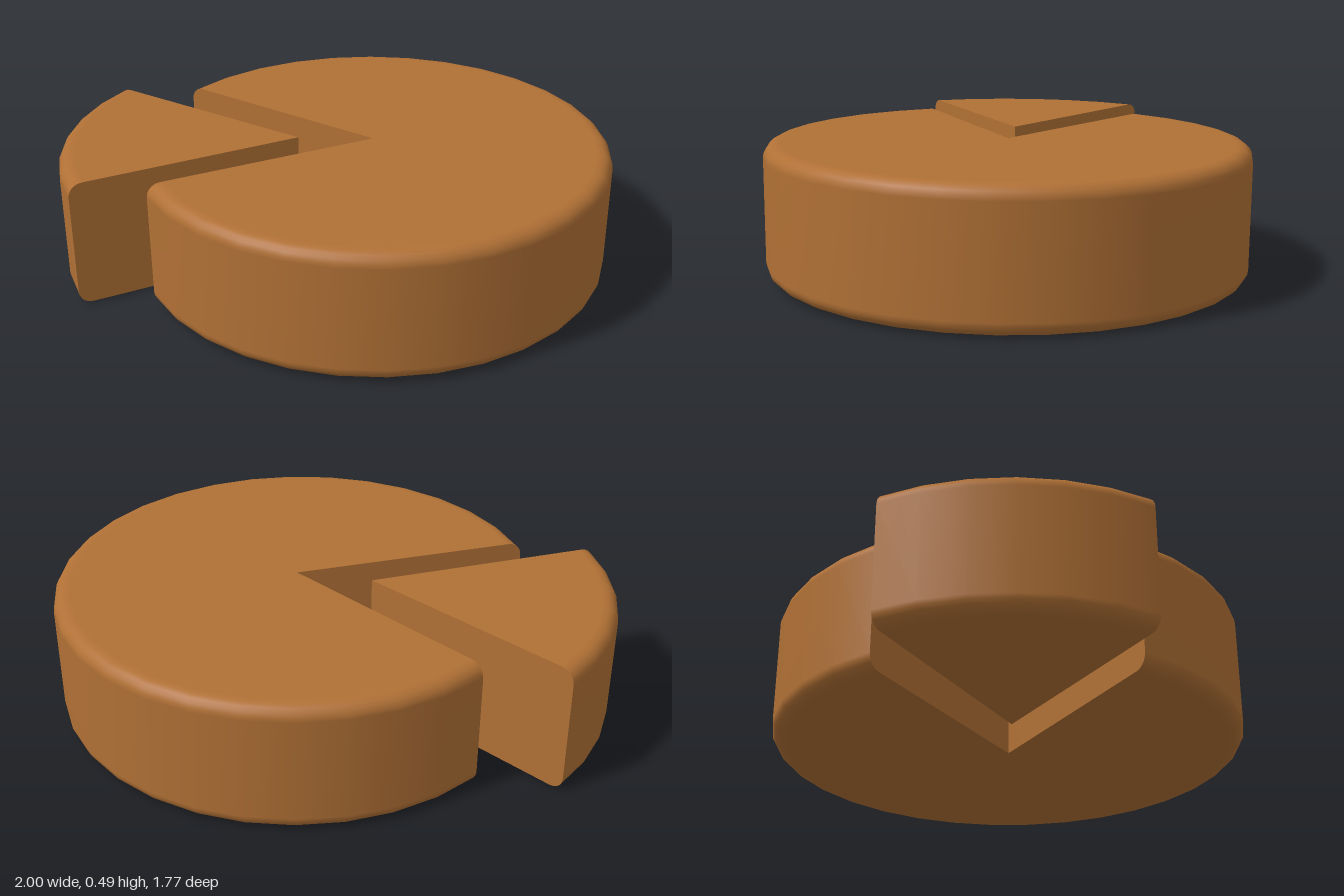
import * as THREE from 'three';

const RADIUS = 0.88, HEIGHT = 0.48, ROUND = 0.05;
const deg = THREE.MathUtils.degToRad;

// Half section: flat base, rounded rim, flat top
function sectionPoints() {
  const pts = [new THREE.Vector2(0, 0), new THREE.Vector2(RADIUS - ROUND - 0.01, 0)];
  const arc = (cy, from) => {
    for (let i = 0; i <= 5; i++) {
      const a = from + (i / 5) * Math.PI / 2;
      pts.push(new THREE.Vector2(RADIUS - ROUND + ROUND * Math.cos(a), cy + ROUND * Math.sin(a)));
    }
  };
  arc(ROUND, -Math.PI / 2);
  arc(HEIGHT - ROUND, 0);
  pts.push(new THREE.Vector2(RADIUS - ROUND - 0.01, HEIGHT), new THREE.Vector2(0, HEIGHT));
  return pts;
}

// A sector of the rounded disc, closed by two flat cut faces
function sector(name, startDeg, sweepDeg, segments, material) {
  const group = new THREE.Group();
  group.name = name;
  const pts = sectionPoints();
  const start = deg(startDeg), sweep = deg(sweepDeg);

  const body = new THREE.Mesh(new THREE.LatheGeometry(pts, segments, start, sweep), material);
  body.name = name + 'Body';
  group.add(body);

  for (const [label, side, angle] of [['StartCut', 1, start], ['EndCut', -1, start + sweep]]) {
    const shape = new THREE.Shape(pts.map(p => new THREE.Vector2(side * p.x, p.y)));
    const cut = new THREE.Mesh(new THREE.ShapeGeometry(shape), material);
    cut.name = name + label;
    cut.rotation.y = angle - side * Math.PI / 2;
    group.add(cut);
  }
  return group;
}

export function createModel() {
  const material = new THREE.MeshStandardMaterial({ color: 0xb07035 });
  const model = new THREE.Group();
  model.name = 'slicedDisc';

  // Disc with a wedge missing at the back right
  const disc = sector('disc', -90, 299, 27, material);
  disc.position.set(0.12, 0, 0);

  // The wedge, pulled outwards and turned a little
  const slice = sector('slice', 210.5, 60.5, 6, material);
  slice.position.set(-0.125, 0, -0.13);

  model.add(disc, slice);

  // The whole piece leans very slightly
  model.rotation.set(-0.005, 0, -0.002);
  model.position.y = 0.007;
  return model;
}
